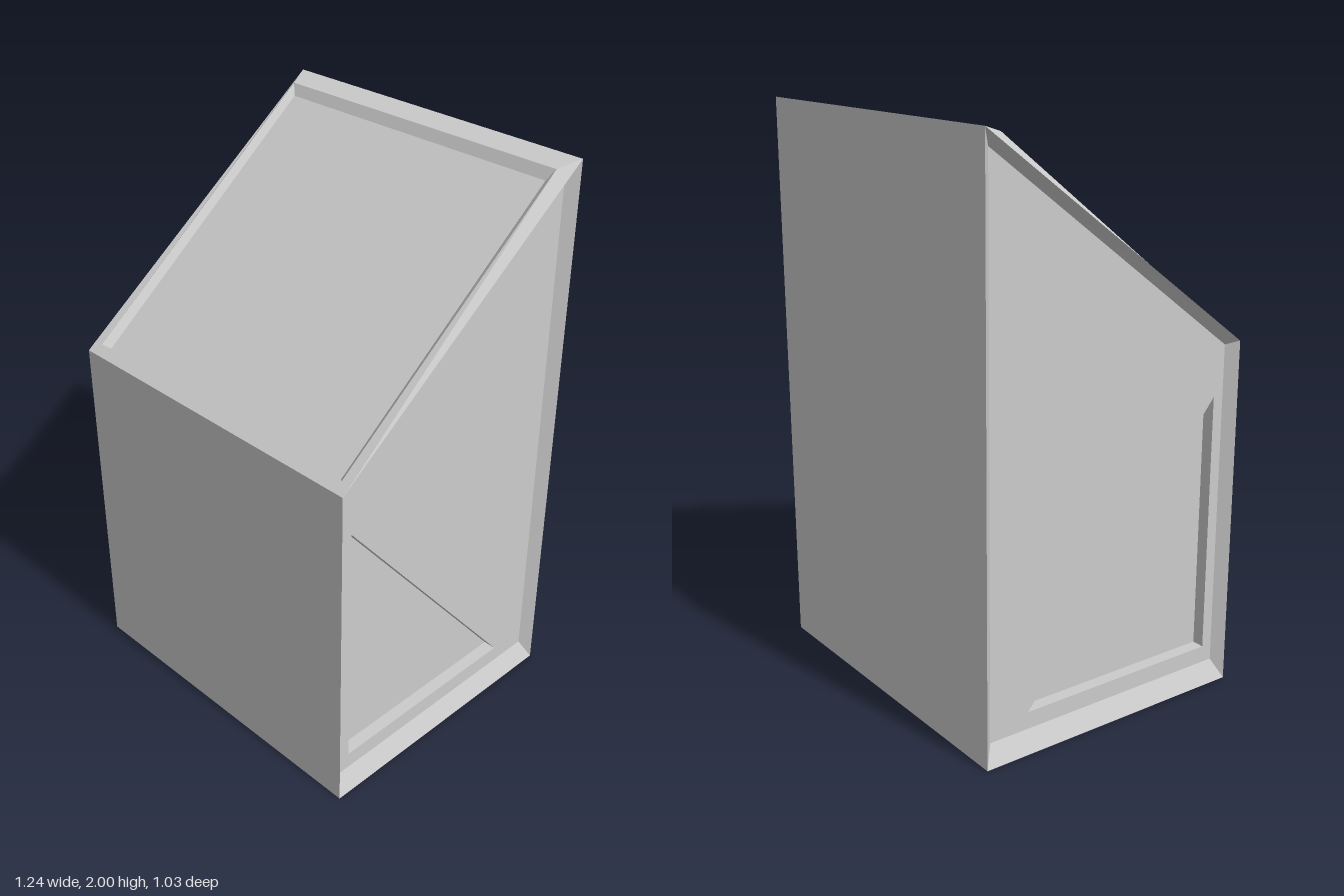
import * as THREE from 'three';

const W = 0.62, D = 0.515, FRONT_Y = 1.24, BACK_Y = 2;
const PANEL_W = 0.585, POCKET_W = 0.54;
const material = new THREE.MeshStandardMaterial({ color: 0xcccccc, flatShading: true });

// Quads given as four corners, counter-clockwise from outside
function quadMesh(name, quads) {
  const pos = quads.flatMap(([a, b, c, d]) => [a, b, c, a, c, d]).flat();
  const geo = new THREE.BufferGeometry();
  geo.setAttribute('position', new THREE.Float32BufferAttribute(pos, 3));
  geo.computeVertexNormals();
  const mesh = new THREE.Mesh(geo, material);
  mesh.name = name;
  return mesh;
}

// Band of quads between two matching closed loops
function band(outer, inner) {
  return outer.map((p, i) => {
    const j = (i + 1) % outer.length;
    return [p, outer[j], inner[j], inner[i]];
  });
}

// Flat face, optionally with a hole, at depth w
function faceMesh(name, loop, w, hole) {
  const points = (l) => l.map(([u, v]) => new THREE.Vector2(u, v));
  const shape = new THREE.Shape(points(loop));
  if (hole) shape.holes.push(new THREE.Path(points(hole)));
  const mesh = new THREE.Mesh(new THREE.ShapeGeometry(shape).translate(0, 0, w), material);
  mesh.name = name;
  return mesh;
}

// One side: bevelled border, recessed panel and triangular pocket
function createSide(s) {
  const outline = [[D, 0], [-D, 0], [-D, BACK_Y], [D, FRONT_Y]];
  const panel = [[0.48, 0.07], [-0.48, 0.07], [-0.48, 1.94], [0.48, 1.225]];
  const triangle = [[0.44, 0.13], [-0.33, 0.13], [0.44, 1.05]];
  // Profiles are (z, y); turn them to face outward on either side
  const local = (l) => {
    const pts = l.map(([z, y]) => [-s * z, y]);
    return s < 0 ? pts.reverse() : pts;
  };
  const at = (l, w) => l.map(([u, v]) => [u, v, w]);
  const o = local(outline), p = local(panel), t = local(triangle);

  const side = new THREE.Group();
  side.name = s > 0 ? 'leftSide' : 'rightSide';
  side.add(
    quadMesh('sideBevel', band(at(o, W), at(p, PANEL_W))),
    faceMesh('sidePanel', p, PANEL_W, t),
    quadMesh('pocketWalls', band(at(t, PANEL_W), at(t, POCKET_W))),
    faceMesh('pocketFloor', t, POCKET_W)
  );
  side.rotation.y = s * Math.PI / 2;
  return side;
}

// Rectangle across the sloped top, counter-clockwise from above
function slopeLoop(x, zFront, yFront, zBack, yBack) {
  return [[-x, yFront, zFront], [x, yFront, zFront], [x, yBack, zBack], [-x, yBack, zBack]];
}

export function createModel() {
  const model = new THREE.Group();
  model.name = 'slopedCabinet';

  // Plain front, back and base
  model.add(
    quadMesh('frontPanel', [[[-W, 0, D], [W, 0, D], [W, FRONT_Y, D], [-W, FRONT_Y, D]]]),
    quadMesh('backPanel', [[[W, 0, -D], [-W, 0, -D], [-W, BACK_Y, -D], [W, BACK_Y, -D]]]),
    quadMesh('base', [[[-W, 0, -D], [W, 0, -D], [W, 0, D], [-W, 0, D]]])
  );

  // Sloped top with a raised rim around a shallow recess
  const edge = slopeLoop(W, D, FRONT_Y, -D, BACK_Y);
  const rim = slopeLoop(0.583, 0.483, 1.265, -0.435, 1.978);
  const floor = slopeLoop(0.56, 0.463, 1.25, -0.415, 1.94);
  model.add(
    quadMesh('topRim', band(edge, rim)),
    quadMesh('recessWalls', band(rim, floor)),
    quadMesh('recessFloor', [floor])
  );

  for (const s of [1, -1]) model.add(createSide(s));
  return model;
}
